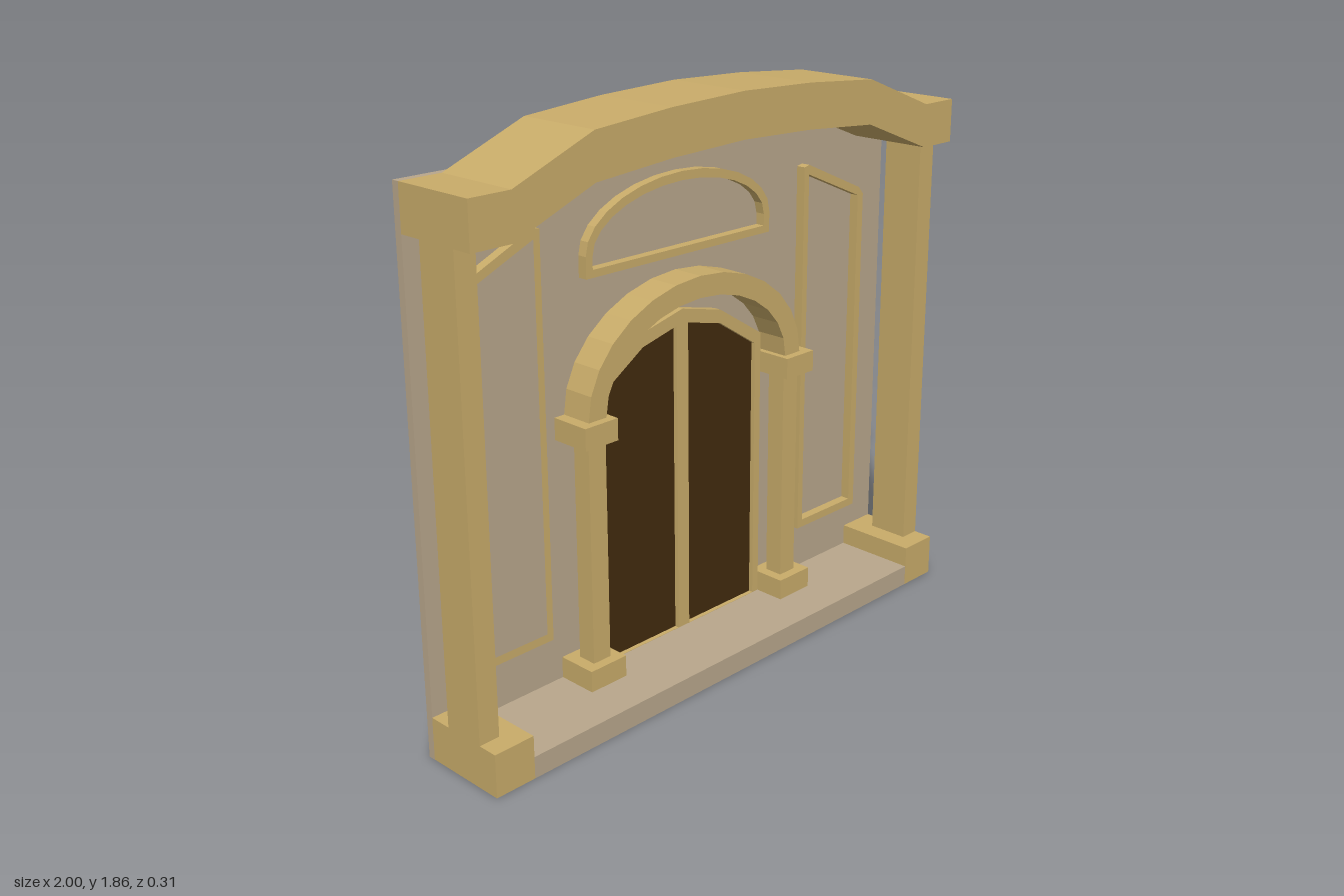
import * as THREE from 'three';

const mat = (name, color) => {
  const m = new THREE.MeshStandardMaterial({ color });
  m.name = name;
  return m;
};

export function createModel() {
  const group = new THREE.Group();
  const stone = mat('wall stone', 0xb8a68b);
  const trim = mat('sandstone trim', 0xc8ab69);
  const wood = mat('dark door', 0x412a0e);

  const WALL = -0.13; // front plane of the back wall

  const add = (name, geo, material) => {
    const mesh = new THREE.Mesh(geo, material);
    mesh.name = name;
    group.add(mesh);
  };
  // Box given by its limits on each axis
  const box = (name, material, x0, x1, y0, y1, z0, z1) => {
    const geo = new THREE.BoxGeometry(x1 - x0, y1 - y0, z1 - z0);
    geo.translate((x0 + x1) / 2, (y0 + y1) / 2, (z0 + z1) / 2);
    add(name, geo, material);
  };
  const vecs = (pts, s = 1) => pts.map(([x, y]) => new THREE.Vector2(x * s, y));
  // Outline with holes, extruded from z0 to z1
  const plate = (name, material, outline, holes, z0, z1, s = 1) => {
    const shape = new THREE.Shape(vecs(outline, s));
    holes.forEach((h) => shape.holes.push(new THREE.Path(vecs(h, s))));
    const geo = new THREE.ExtrudeGeometry(shape, { depth: z1 - z0, bevelEnabled: false });
    geo.translate(0, 0, z0);
    add(name, geo, material);
  };
  // Half ellipse from +x round to -x
  const arc = (rx, ry, cy, n = 14) => Array.from({ length: n + 1 }, (_, i) => {
    const a = (Math.PI * i) / n;
    return [rx * Math.cos(a), cy + ry * Math.sin(a)];
  });
  const rect = (x0, x1, y0, y1) => [[x0, y0], [x1, y0], [x1, y1], [x0, y1]];

  // Back wall with doorway, and the floor step
  plate('backWall', stone, rect(-1, 1, 0, 1.713), [rect(-0.35, 0.35, 0.07, 1.0)], -0.155, WALL);
  box('floorStep', stone, -0.999, 0.999, 0, 0.07, WALL, 0.154);

  // Arched cornice
  const half = [[1, 1.713], [0.86, 1.713], [0.575, 1.825], [0.29, 1.848]];
  const flip = (pts) => pts.map(([x, y]) => [-x, y]).reverse();
  const top = [...half, [0, 1.858], ...flip(half)];
  const bottom = top.map(([x, y]) => [x, y - 0.14]).reverse();
  plate('cornice', trim, [...top, ...bottom], [], WALL, 0.155);

  // Parts on both sides
  for (const s of [1, -1]) {
    const side = s > 0 ? 'left' : 'right';
    const pair = (name, x0, x1, ...rest) =>
      box(side + name, trim, Math.min(x0 * s, x1 * s), Math.max(x0 * s, x1 * s), ...rest);
    pair('CornerBase', 0.86, 1, 0.001, 0.14, WALL, 0.155);
    pair('CornerPillar', 0.93, 1, 0.14, 1.6, -0.054, 0.088);
    pair('DoorColumnBase', 0.36, 0.503, 0.07, 0.14, WALL, 0.005);
    pair('DoorColumn', 0.395, 0.463, 0.14, 0.86, -0.092, -0.028);
    pair('DoorColumnCapital', 0.375, 0.503, 0.86, 0.93, WALL, 0.005);

    // Slanted panel moulding
    plate(side + 'PanelMoulding', trim,
      [[0.562, 0.235], [0.867, 0.235], [0.867, 1.38], [0.845, 1.405], [0.585, 1.52], [0.562, 1.515]],
      [[[0.585, 0.262], [0.84, 0.262], [0.84, 1.378], [0.585, 1.488]]],
      WALL, -0.098, s);
  }

  // Arch over the door
  plate('doorArch', trim, [...arc(0.465, 0.35, 0.93), ...arc(0.395, 0.28, 0.93).reverse()],
    [], WALL, -0.022);

  // Half-round moulding above the arch
  plate('lunetteMoulding', trim,
    [[-0.393, 1.333], [0.393, 1.333], ...arc(0.393, 0.19, 1.4)],
    [[[-0.367, 1.357], [0.367, 1.357], ...arc(0.367, 0.167, 1.395)]],
    WALL, -0.098);

  // Door leaves behind a frame with a centre post
  const doorTop = (w, a, b, c) => [[-w, 0.07], [w, 0.07], [w, a], [0.17, b], [0, c], [-0.17, b], [-w, a]];
  plate('doorLeaves', wood, doorTop(0.355, 0.99, 1.11, 1.15), [], WALL, -0.115);
  const leaf = (s) => [[0.025, 0.071], [0.333, 0.071], [0.333, 0.97], [0.17, 1.075], [0.025, 1.11]]
    .map(([x, y]) => [x * s, y]);
  plate('doorFrame', trim, doorTop(0.36, 1.0, 1.12, 1.16), [leaf(1), leaf(-1)], -0.128, -0.1);

  return group;
}
